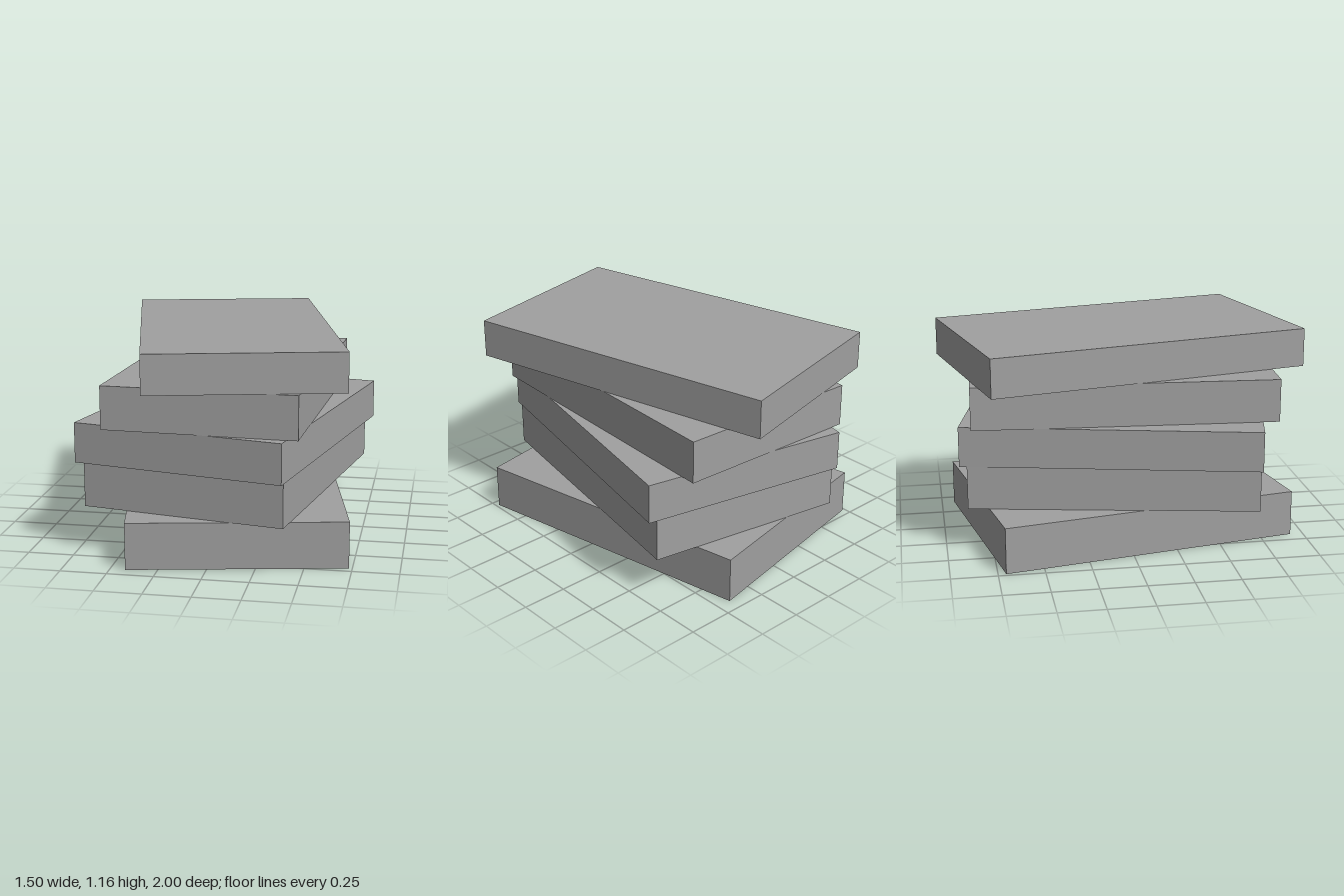
import * as THREE from 'three';

// Stack of five slabs, each turned about the vertical axis
export function createModel() {
  const group = new THREE.Group();
  group.name = 'slabStack';

  const grey = new THREE.MeshStandardMaterial({ color: 0xa0a0a0 });
  grey.name = 'grey';

  // width, depth, bottom, top, turn (radians), from the ground up
  const slabs = [
    ['bottomSlab', 1.172, 1.665, 0, 0.255, 0.19],
    ['secondSlab', 1.125, 1.58, 0.255, 0.496, -0.188],
    ['middleSlab', 1.178, 1.628, 0.496, 0.716, -0.217],
    ['fourthSlab', 1.047, 1.66, 0.716, 0.951, -0.056],
    ['topSlab', 1.048, 1.808, 0.951, 1.163, 0.231],
  ];

  for (const [name, width, depth, bottom, top, turn] of slabs) {
    const slab = new THREE.Mesh(new THREE.BoxGeometry(width, top - bottom, depth), grey);
    slab.name = name;
    slab.position.y = (bottom + top) / 2;
    slab.rotation.y = turn;
    group.add(slab);
  }
  return group;
}
